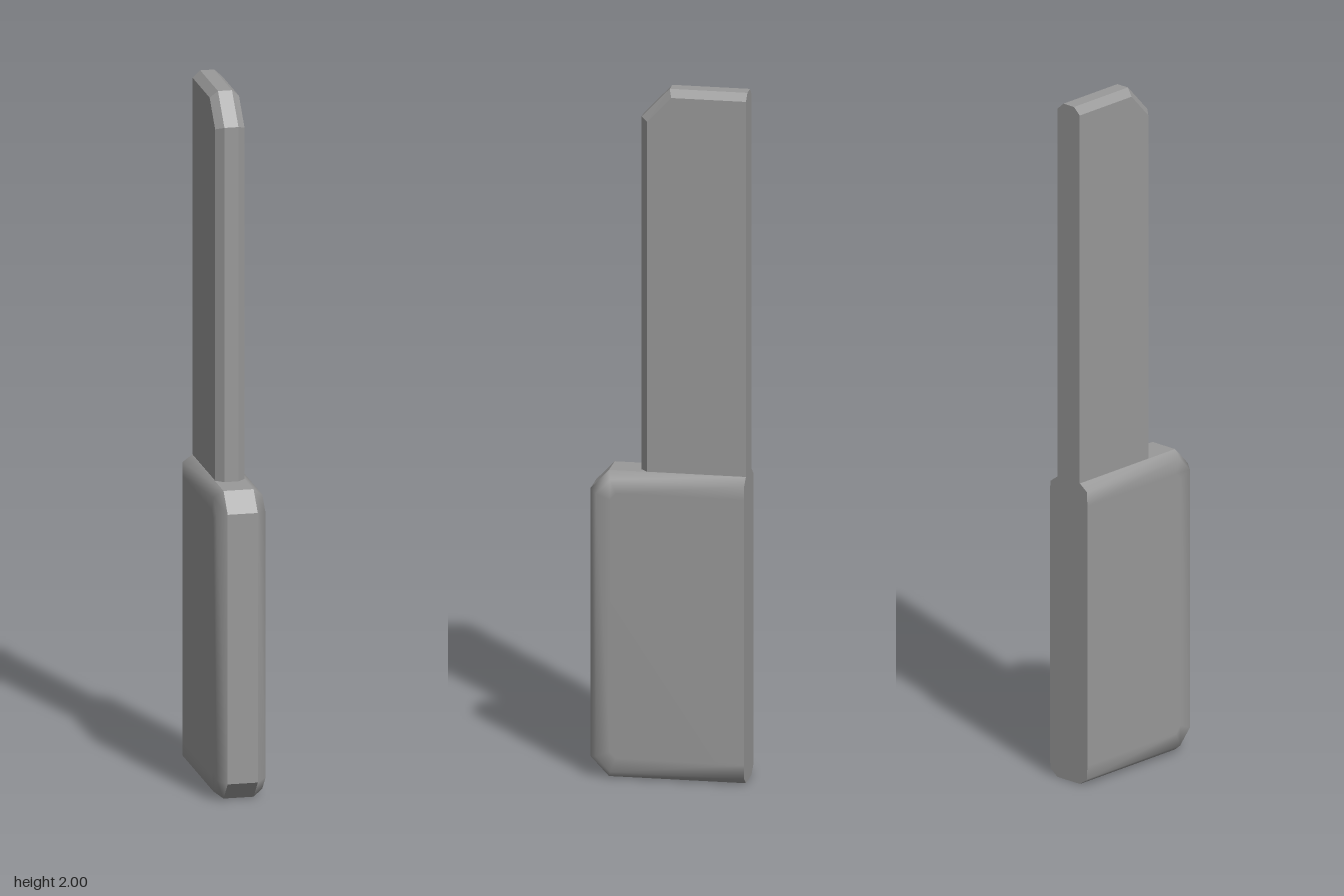
import * as THREE from 'three';
import { mergeGeometries } from 'three/addons/utils/BufferGeometryUtils.js';

const BACK = -0.22;

// Surface through matching loops (ordered from +x to -x), optionally closed at one end
function loft(loops, { capFirst = false, capLast = false, smooth = false } = {}) {
  const n = loops[0].length, index = [];
  for (let k = 0; k + 1 < loops.length; k++) {
    for (let i = 0; i + 1 < n; i++) {
      const a = k * n + i, b = a + n;
      index.push(a, a + 1, b + 1, a, b + 1, b);
    }
  }
  const last = (loops.length - 1) * n;
  for (let i = 1; i + 1 < n; i++) {
    if (capFirst) index.push(0, i + 1, i);
    if (capLast) index.push(last, last + i, last + i + 1);
  }
  let geo = new THREE.BufferGeometry();
  geo.setAttribute('position', new THREE.Float32BufferAttribute(loops.flat(2), 3));
  geo.setIndex(index);
  if (smooth) geo.computeVertexNormals();
  geo = geo.toNonIndexed();
  if (!smooth) geo.computeVertexNormals();
  return geo;
}

// Slab with bevelled sides and a flat back; rings run from the rim outwards: [x, inset]
function slab(profile, rings, smooth) {
  const ring = ([x, inset], side) => profile(inset).map(([z, y]) => [x * side, y, z]);
  const left = rings.map((r) => ring(r, 1)).reverse();
  const right = rings.map((r) => ring(r, -1));
  const all = [...left, ...right];

  // flat back face: bottom ends one way, top ends the other
  const outline = [...all.map((l) => l[0]), ...all.map((l) => l[l.length - 1]).reverse()];
  const back = new THREE.BufferGeometry();
  const tris = [];
  for (let i = 1; i + 1 < outline.length; i++) tris.push(outline[0], outline[i], outline[i + 1]);
  back.setAttribute('position', new THREE.Float32BufferAttribute(tris.flat(), 3));
  back.setAttribute('normal', new THREE.Float32BufferAttribute(tris.flatMap(() => [0, 0, -1]), 3));

  return mergeGeometries([
    loft(left, { capFirst: true, smooth }),
    loft([left[left.length - 1], right[0]]),
    loft(right, { capLast: true, smooth }),
    back,
  ]);
}

// Side outlines as [z, y], shrunk by d everywhere except at the back
const handleProfile = (d) => {
  const e = 0.41 * d;
  return [
    [BACK, d], [0.168 - e, d], [0.22 - d, 0.055 + e],
    [0.22 - d, 0.835 - e], [0.168 - e, 0.89 - d], [BACK, 0.89 - d],
  ];
};
const bladeProfile = (d) => {
  const e = 0.41 * d;
  return [
    [BACK, 0.885], [0.08 - d, 0.885], [0.08 - d, 1.915 - e],
    [-e, 2 - d], [BACK, 2 - d],
  ];
};

export function createModel() {
  const model = new THREE.Group();
  model.name = 'flatBladeWithHandle';
  const grey = new THREE.MeshStandardMaterial({ color: 0x999999 });
  grey.name = 'grey';

  // Wide block with softly shaded bevels
  const handle = new THREE.Mesh(
    slab(handleProfile, [[0.043, 0], [0.07, 0.02], [0.071, 0.06]], true), grey);
  handle.name = 'handle';

  // Narrow upright with crisp bevels
  const blade = new THREE.Mesh(slab(bladeProfile, [[0.02, 0], [0.042, 0.02]], false), grey);
  blade.name = 'blade';

  model.add(handle, blade);
  return model;
}
